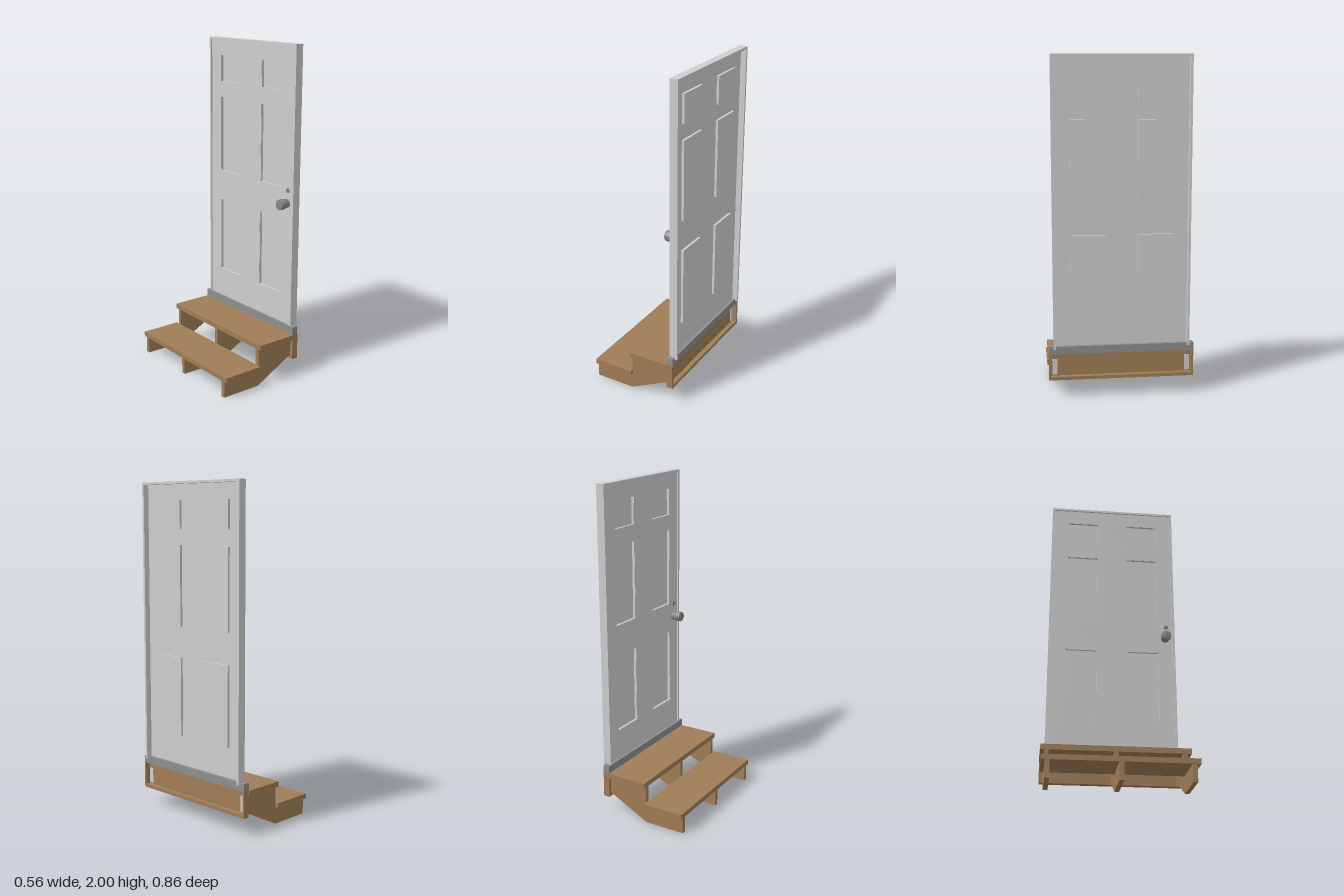
import * as THREE from 'three';

const mat = (name, color, side = THREE.FrontSide) => {
  const m = new THREE.MeshStandardMaterial({ color, side });
  m.name = name;
  return m;
};

export function createModel() {
  const wood = mat('wood brown', 0xa07d57);
  const paint = mat('door light grey', 0xcecece);
  const sillGrey = mat('sill grey', 0x8e8e8e);
  const metal = mat('knob grey', 0x858585);

  const model = new THREE.Group();
  model.name = 'doorWithSteps';

  const add = (name, geometry, material, parent = model) => {
    const mesh = new THREE.Mesh(geometry, material);
    mesh.name = name;
    parent.add(mesh);
    return mesh;
  };
  // Box given by its limits on each axis
  const box = (name, material, [x0, x1], [y0, y1], [z0, z1], parent) => {
    const mesh = add(name, new THREE.BoxGeometry(x1 - x0, y1 - y0, z1 - z0), material, parent);
    mesh.position.set((x0 + x1) / 2, (y0 + y1) / 2, (z0 + z1) / 2);
    return mesh;
  };
  const rect = (Type, x0, x1, y0, y1) => new Type([
    new THREE.Vector2(x0, y0), new THREE.Vector2(x1, y0),
    new THREE.Vector2(x1, y1), new THREE.Vector2(x0, y1),
  ]);
  // Upright sheet lying across z, from x0 to x1
  const sheet = (shape, x0, x1) =>
    new THREE.ExtrudeGeometry(shape, { depth: x1 - x0, bevelEnabled: false })
      .rotateY(Math.PI / 2).translate(x0, 0, 0);

  // Steps: two treads on three stringers, without risers
  const steps = new THREE.Group();
  steps.name = 'steps';
  model.add(steps);
  box('lowerTread', wood, [-0.285, -0.028], [0.1, 0.13], [-0.432, 0.432], steps);
  box('upperTread', wood, [-0.03, 0.226], [0.232, 0.264], [-0.432, 0.432], steps);
  const profile = new THREE.Shape([
    [-0.283, 0], [-0.03, 0], [0.226, 0.13], [0.226, 0.232],
    [-0.028, 0.232], [-0.028, 0.1], [-0.283, 0.1],
  ].map(([x, y]) => new THREE.Vector2(x, y)));
  const stringer = new THREE.ExtrudeGeometry(profile, { depth: 0.026, bevelEnabled: false })
    .translate(0, 0, -0.013);
  for (const z of [-0.397, 0, 0.397]) add('stringer', stringer, wood, steps).position.z = z;

  // Ledger: shallow open tray under the sill
  const ledger = new THREE.Group();
  ledger.name = 'ledger';
  model.add(ledger);
  box('ledgerBoard', wood, [0.226, 0.236], [0.107, 0.268], [-0.428, 0.428], ledger);
  box('ledgerBottom', wood, [0.226, 0.265], [0.107, 0.127], [-0.428, 0.428], ledger);
  for (const s of [-1, 1]) {
    box('ledgerEnd', wood, [0.226, 0.265], [0.107, 0.268],
      s > 0 ? [0.418, 0.43] : [-0.43, -0.418], ledger);
    box('bracket', paint, [0.236, 0.24], [0.135, 0.23],
      [s * 0.395 - 0.015, s * 0.395 + 0.015], ledger);
  }

  // Sill
  box('sill', sillGrey, [0.224, 0.264], [0.266, 0.312], [-0.43, 0.428]);

  // Door: outer edge frame around a thin sheet
  const door = new THREE.Group();
  door.name = 'door';
  model.add(door);
  for (const s of [-1, 1]) {
    box('sideEdge', paint, [0.23, 0.28], [0.3, 2],
      s > 0 ? [0.388, 0.402] : [-0.402, -0.388], door);
  }
  box('topEdge', paint, [0.23, 0.28], [1.986, 2], [-0.39, 0.39], door);

  const face = rect(THREE.Shape, -0.39, 0.39, 0.305, 1.988);
  for (const [y0, y1] of [[0.495, 0.972], [1.157, 1.635], [1.728, 1.895]]) {
    for (const z of [-0.195, 0.195]) {
      const [a, b] = [z - 0.101, z + 0.101];
      face.holes.push(rect(THREE.Path, a, b, y0, y1));
      // Pressed panel: raised on one side, sunk on the other
      const rim = rect(THREE.Shape, a, b, y0, y1);
      rim.holes.push(rect(THREE.Path, a + 0.003, b - 0.003, y0 + 0.003, y1 - 0.003));
      add('panelRim', sheet(rim, 0.24, 0.258), paint, door);
      add('panel', sheet(rect(THREE.Shape, a, b, y0, y1), 0.255, 0.259), paint, door);
    }
  }
  add('doorSheet', sheet(face, 0.239, 0.244), paint, door);

  // Knob and lock, turned about x
  const turned = (name, points, y, z) => {
    const g = new THREE.LatheGeometry(points.map(([r, h]) => new THREE.Vector2(r, h)), 24)
      .rotateZ(Math.PI / 2);
    add(name, g, metal, door).position.set(0.24, y, z);
  };
  turned('knob', [[0.026, 0], [0.026, 0.012], [0.028, 0.02], [0.031, 0.036], [0.032, 0.05],
    [0.031, 0.061], [0.027, 0.066], [0, 0.067]], 1.07, 0.34);
  turned('lock', [[0.014, 0], [0.014, 0.005], [0.01, 0.007], [0, 0.007]], 1.15, 0.347);

  return model;
}
